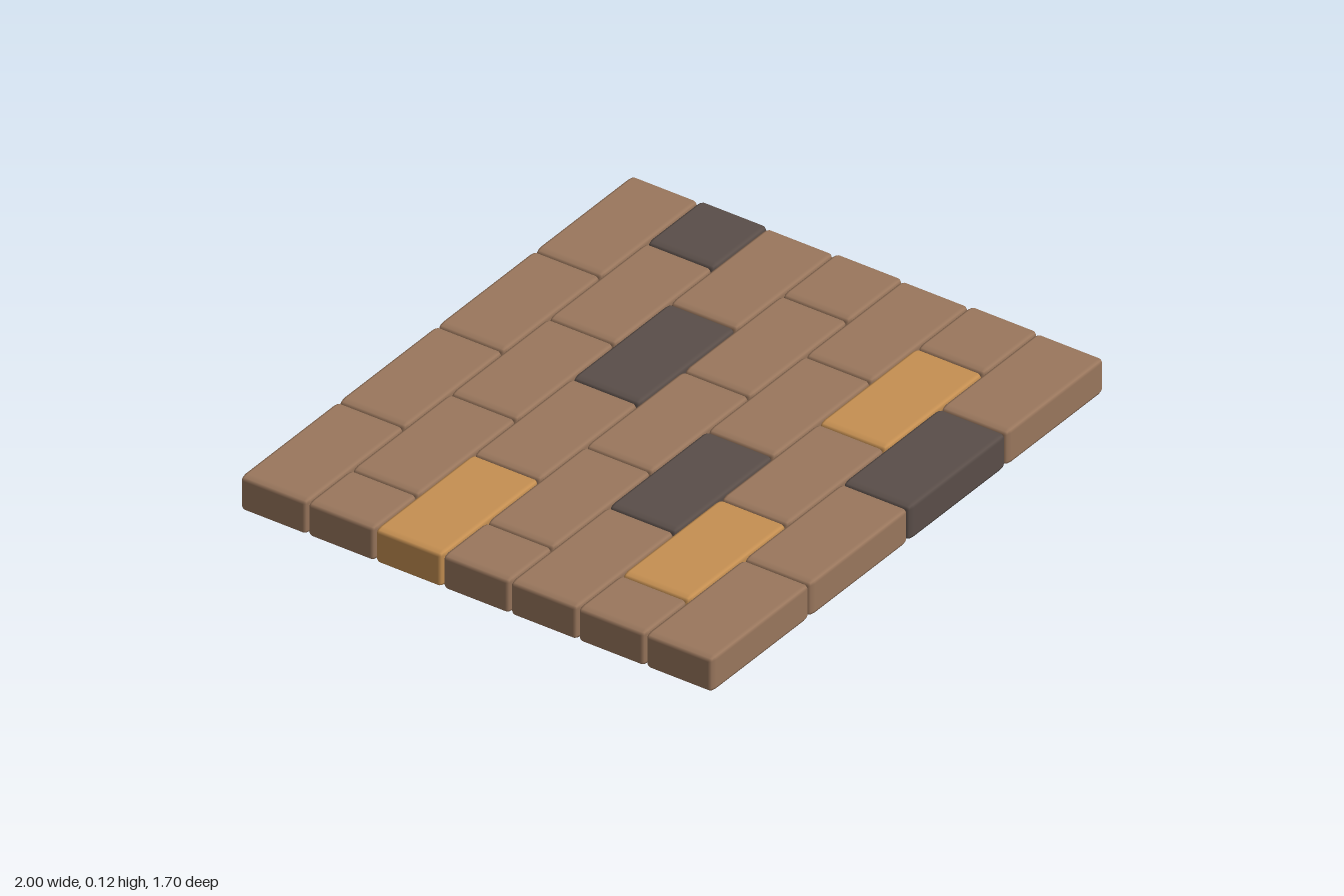
import * as THREE from 'three';
import { RoundedBoxGeometry } from 'three/addons/geometries/RoundedBoxGeometry.js';

const HEIGHT = 0.12, DEPTH = 0.24, PITCH = 0.2435, BEVEL = 0.013;

// Brick joints along x for the two alternating courses
const FULL = [-1, -0.5, 0, 0.495, 0.992];
const OFFSET = [-1, -0.775, -0.275, 0.222, 0.72, 1];

// Colour of each brick, row by row from back to front: b brown, d dark, t tan
const PATTERN = ['bbbb', 'bbbbd', 'tbdb', 'bbbbb', 'bdbb', 'btbtb', 'bbdb'];

export function createModel() {
  const model = new THREE.Group();
  model.name = 'brickPaving';

  const materials = {
    b: new THREE.MeshStandardMaterial({ color: 0x9a775d }),
    d: new THREE.MeshStandardMaterial({ color: 0x5a4e49 }),
    t: new THREE.MeshStandardMaterial({ color: 0xc69052 }),
  };
  const names = { b: 'brownBrick', d: 'darkBrick', t: 'tanBrick' };

  PATTERN.forEach((row, i) => {
    const course = new THREE.Group();
    course.name = 'course' + (i + 1);
    course.position.z = (i - 3) * PITCH;
    const joints = i % 2 ? OFFSET : FULL;

    [...row].forEach((kind, j) => {
      const width = joints[j + 1] - joints[j];
      // Bevels are stretched to twice their size along the brick
      const geometry = new RoundedBoxGeometry(width / 2, HEIGHT, DEPTH, 1, BEVEL);
      geometry.scale(2, 1, 1);
      const brick = new THREE.Mesh(geometry, materials[kind]);
      brick.name = names[kind];
      brick.position.set(joints[j] + width / 2, HEIGHT / 2, 0);
      course.add(brick);
    });
    model.add(course);
  });

  return model;
}
